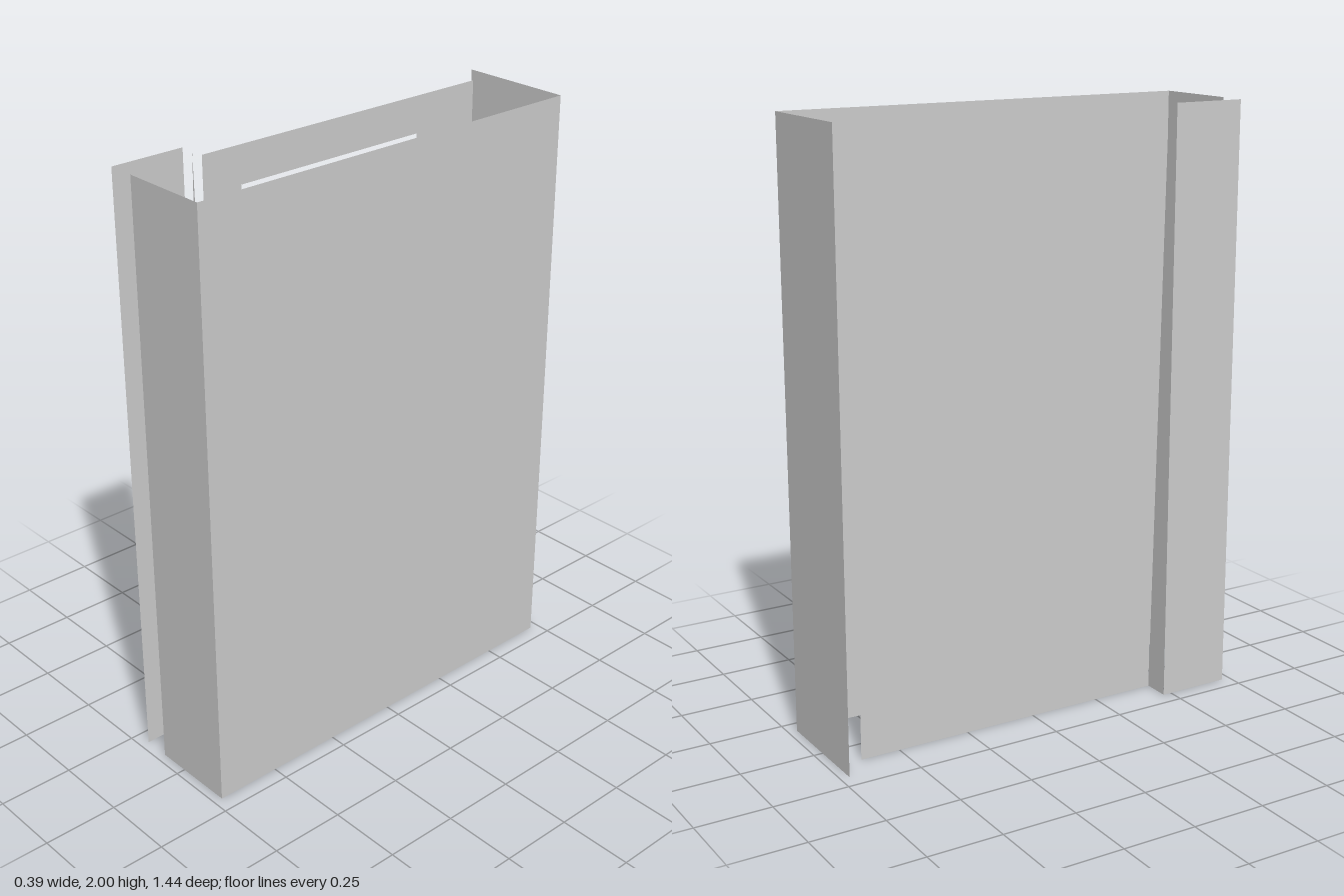
import * as THREE from 'three';

const material = new THREE.MeshStandardMaterial({ color: 0xcccccc, side: THREE.DoubleSide });

function outline(points) {
  return new THREE.Shape(points.map(([u, v]) => new THREE.Vector2(u, v)));
}

function rect(u0, u1, v0, v1) {
  return outline([[u0, v0], [u1, v0], [u1, v1], [u0, v1]]);
}

// Thin sheet in the plane x = const; the shape is drawn in (z, y)
function sideSheet(name, shape, x) {
  const mesh = new THREE.Mesh(new THREE.ShapeGeometry(shape), material);
  mesh.name = name;
  mesh.rotation.y = -Math.PI / 2;
  mesh.position.x = x;
  return mesh;
}

// Thin sheet in the plane z = const; the shape is drawn in (x, y)
function crossSheet(name, shape, z) {
  const mesh = new THREE.Mesh(new THREE.ShapeGeometry(shape), material);
  mesh.name = name;
  mesh.position.z = z;
  return mesh;
}

export function createModel() {
  const group = new THREE.Group();
  group.name = 'panelShell';

  const height = 2, halfWidth = 0.195, halfDepth = 0.72;
  const innerX = -0.105, stepZ = 0.47;

  // Outer walls
  group.add(
    sideSheet('largeSideWall', rect(-halfDepth, halfDepth, 0, height), halfWidth),
    crossSheet('frontWall', rect(innerX, halfWidth, 0, height), halfDepth),
    crossSheet('backWall', rect(-halfWidth, halfWidth, 0, height), -halfDepth),
    sideSheet('sideStrip', rect(stepZ, halfDepth, 0, height), -halfWidth)
  );

  // Set-back wall with a window opening
  const inner = rect(-0.635, stepZ, 0, height);
  inner.holes.push(rect(-0.384, 0.33, 0.587, 1.877));
  group.add(sideSheet('windowWall', inner, innerX));

  // Slender triangular web between the strip and the set-back wall
  group.add(crossSheet('triangularWeb',
    outline([[-halfWidth, 0], [innerX, 0], [-0.15, height]]), stepZ));

  // Recessed panel behind the window, with a small plate on it
  group.add(
    sideSheet('recessedPanel', rect(-0.302, 0.258, 0.627, 1.803), -0.071),
    sideSheet('smallPlate', rect(-0.306, 0.005, 0.625, 0.85), -0.09)
  );

  return group;
}
